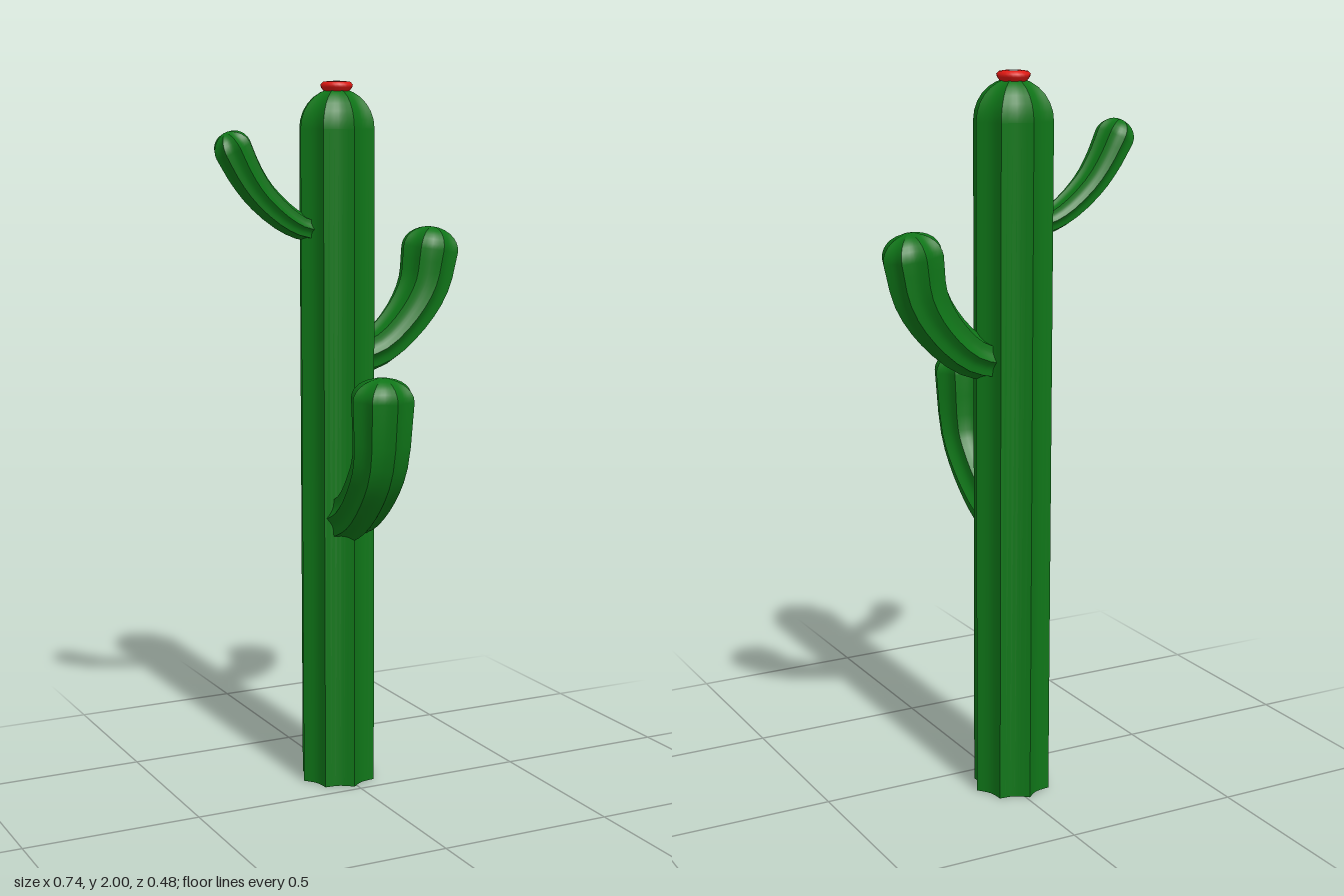
import * as THREE from 'three';

const RIDGES = 8, SEGS = 6; // ridges around a stem, facets across each groove
const VALLEY = 0.83;        // groove depth relative to ridge radius
const green = new THREE.MeshStandardMaterial({ color: 0x0f7518 });
const red = new THREE.MeshStandardMaterial({ color: 0xe01812 });
const grey = new THREE.MeshStandardMaterial({ color: 0xcccccc });

// Ribbed stem lying in the xy plane; stations are [x, y, radius], closed by a dome
function ribbedStem(name, stations, domeHeight, samples) {
  const curve = new THREE.CatmullRomCurve3(stations.map((s) => new THREE.Vector3(...s)));
  const pts = curve.getPoints(samples);
  const rings = pts.map((p, i) => {
    const a = pts[Math.max(i - 1, 0)], b = pts[Math.min(i + 1, samples)];
    const t = new THREE.Vector2(b.x - a.x, b.y - a.y).normalize();
    return { x: p.x, y: p.y, r: p.z, t };
  });
  // Rounded tip
  const end = rings[samples];
  for (let k = 1; k <= 7; k++) {
    const a = (k / 7) * Math.PI / 2, h = domeHeight * Math.sin(a);
    rings.push({ x: end.x + end.t.x * h, y: end.y + end.t.y * h, r: end.r * Math.cos(a), t: end.t });
  }
  // Flat closed start
  rings.unshift({ ...rings[0] });
  rings.unshift({ ...rings[0], r: 0 });

  // Each groove is its own strip so the ridges stay sharp
  const pos = [], index = [];
  const addStrip = (lobe, part) => {
    const base = pos.length / 3, w = SEGS + 1;
    part.forEach(({ x, y, r, t }, i) => {
      for (let j = 0; j <= SEGS; j++) {
        const u = j / SEGS, a = ((lobe + u) / RIDGES) * Math.PI * 2;
        const rad = r * (1 - (1 - VALLEY) * (1 - (2 * u - 1) ** 2));
        const c = rad * Math.cos(a);
        pos.push(x + t.y * c, y - t.x * c, rad * Math.sin(a));
        if (i && j) {
          const d = base + i * w + j;
          index.push(d - w - 1, d - 1, d - w, d - w, d - 1, d);
        }
      }
    });
  };
  for (let lobe = 0; lobe < RIDGES; lobe++) {
    addStrip(lobe, rings.slice(0, 2));
    addStrip(lobe, rings.slice(2));
  }
  const geo = new THREE.BufferGeometry();
  geo.setAttribute('position', new THREE.Float32BufferAttribute(pos, 3));
  geo.setIndex(index);
  geo.computeVertexNormals();
  const mesh = new THREE.Mesh(geo, green);
  mesh.name = name;
  return mesh;
}

function lathe(name, profile, material) {
  const mesh = new THREE.Mesh(
    new THREE.LatheGeometry(profile.map((p) => new THREE.Vector2(...p)), 24), material);
  mesh.name = name;
  return mesh;
}

export function createModel() {
  const model = new THREE.Group();
  model.name = 'cactus';
  const plant = new THREE.Group();
  plant.name = 'plant';
  plant.position.set(-0.01, 0, -0.13);
  model.add(plant);

  plant.add(ribbedStem('trunk', [[0, 0, 0.11], [0, 1.87, 0.11]], 0.11, 1));

  // Arms: stations measured outward from the trunk axis, then turned into place
  const arms = [
    ['leftArm', 0, 0.065, [[0.03, 1.23, 0.055], [0.13, 1.26, 0.06], [0.22, 1.34, 0.068],
      [0.275, 1.43, 0.077], [0.295, 1.53, 0.085]]],
    ['rightArm', Math.PI, 0.05, [[0.03, 1.595, 0.033], [0.1, 1.6, 0.035], [0.16, 1.63, 0.04],
      [0.23, 1.69, 0.045], [0.275, 1.75, 0.05], [0.31, 1.815, 0.055]]],
    ['frontArm', -Math.PI / 2, 0.06, [[0.05, 0.78, 0.072], [0.13, 0.815, 0.07], [0.21, 0.89, 0.075],
      [0.265, 0.98, 0.08], [0.28, 1.15, 0.09]]],
  ];
  for (const [name, turn, dome, stations] of arms) {
    const arm = ribbedStem(name, stations, dome, 12);
    arm.rotation.y = turn;
    plant.add(arm);
  }

  // Flower on the crown
  plant.add(lathe('flower', [[0, 1.96], [0.03, 1.965], [0.043, 1.982], [0.045, 1.99],
    [0.038, 1.997], [0.025, 1.999], [0.017, 1.995], [0, 1.992]], red));
  plant.add(lathe('flowerCentre', [[0.017, 1.99], [0.016, 1.997], [0.01, 2.0], [0, 2.0]], grey));
  return model;
}
